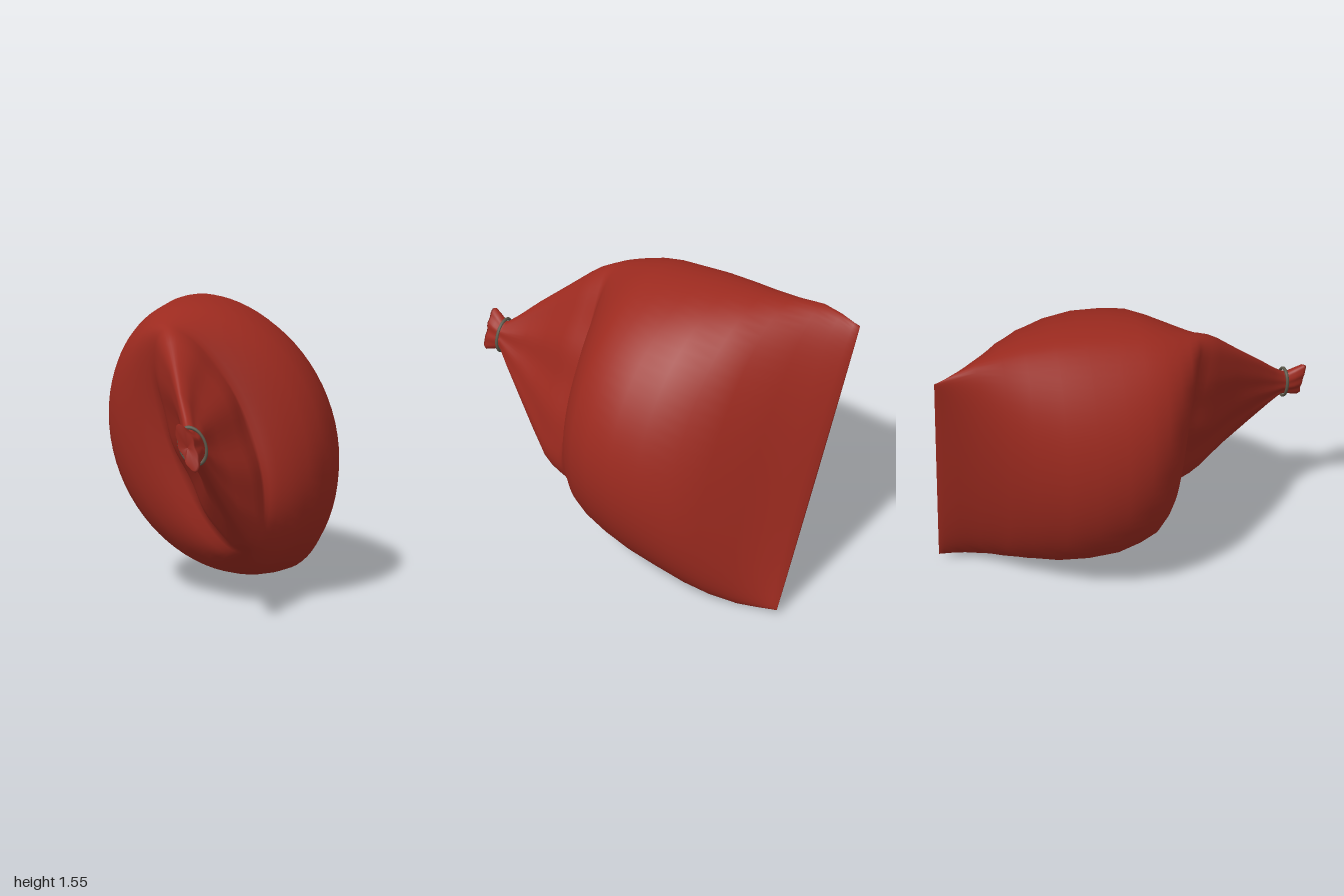
import * as THREE from 'three';

const TILT = 0.38; // lean of the sack's long axis, top towards -x
const S = Math.sin(TILT), C = Math.cos(TILT);
const SIDES = 72;

// Loft of leaning oval sections: [z, xMin, xMax, yMin, yMax, lens, bow, wrinkle]
// lens sharpens the two tips, bow pushes them forward, wrinkle adds gathered folds
function loft(sections) {
  const pos = [], index = [];
  for (const [z, x0, x1, y0, y1, lens = 0, bow = 0, wrinkle = 0] of sections) {
    const cx = (x0 + x1) / 2, cy = (y0 + y1) / 2;
    const w = ((x1 - x0) / 2) ** 2, h = ((y1 - y0) / 2) ** 2;
    const sum = w + h, diff = (h - w) / (C * C - S * S);
    const long = Math.sqrt(Math.max((sum + diff) / 2, 0));
    const wide = Math.sqrt(Math.max((sum - diff) / 2, 0.00003 * Math.sign(sum)));
    for (let j = 0; j < SIDES; j++) {
      const t = (j / SIDES) * Math.PI * 2, s = Math.sin(t);
      const fold = 1 + wrinkle * (Math.cos(9 * t + 1) + 0.6 * Math.cos(5 * t)) * Math.abs(s);
      const u = long * Math.cos(t);
      const v = wide * Math.sign(s) * Math.abs(s) ** (1 + lens) * fold;
      pos.push(cx - S * u + C * v, cy + C * u + S * v, z + bow * Math.cos(t) ** 2);
    }
  }
  for (let i = 0; i < sections.length - 1; i++) {
    for (let j = 0; j < SIDES; j++) {
      const k = (j + 1) % SIDES;
      const a = i * SIDES + j, b = i * SIDES + k, c = a + SIDES, d = b + SIDES;
      index.push(a, c, b, b, c, d);
    }
  }
  const g = new THREE.BufferGeometry();
  g.setAttribute('position', new THREE.Float32BufferAttribute(pos, 3));
  g.setIndex(index);
  g.computeVertexNormals();
  return g;
}

export function createModel() {
  const group = new THREE.Group();
  const cloth = new THREE.MeshStandardMaterial({ color: 0x9c2a1f, side: THREE.DoubleSide });
  cloth.name = 'red cloth';
  const cord = new THREE.MeshStandardMaterial({ color: 0x5c584a });
  cord.name = 'grey cord';

  // Body: flat seam at the back swelling into a round bag with soft shoulders
  const body = [
    [-1.0, -0.105, -0.105, 0.745, 0.745],
    [-1.0, -0.39, 0.18, 0.03, 1.46, 0.1],
    [-0.97, -0.392, 0.192, 0.025, 1.468, 0.1],
    [-0.9, -0.402, 0.228, 0.012, 1.495, 0.1],
    [-0.8, -0.43, 0.305, 0.0, 1.525, 0.1],
    [-0.67, -0.485, 0.435, 0.006, 1.538, 0.1],
    [-0.55, -0.535, 0.523, 0.016, 1.55, 0.12],
    [-0.4, -0.59, 0.592, 0.03, 1.56, 0.15],
    [-0.25, -0.61, 0.625, 0.047, 1.562, 0.15],
    [-0.1, -0.608, 0.625, 0.072, 1.55, 0.15],
    [0.02, -0.578, 0.597, 0.105, 1.538, 0.13],
    [0.11, -0.535, 0.54, 0.135, 1.51, 0.1, 0.01],
    [0.18, -0.465, 0.472, 0.187, 1.48, 0.06, 0.02],
    [0.23, -0.385, 0.41, 0.235, 1.452, 0, 0.04],
    [0.252, -0.31, 0.375, 0.268, 1.437, 0, 0.06],
    [0.26, -0.25, 0.357, 0.29, 1.425, 0, 0.08]
  ];
  // Neck: gathered folds tapering to the tie
  const neck = [
    [0.275, -0.215, 0.352, 0.308, 1.415, 0, 0.09, 0.02],
    [0.35, -0.19, 0.352, 0.33, 1.392, 0, 0.06, 0.04],
    [0.44, -0.15, 0.34, 0.365, 1.355, 0, 0.02, 0.05],
    [0.58, -0.055, 0.29, 0.485, 1.25, 0, 0, 0.07],
    [0.72, 0.025, 0.245, 0.635, 1.13, 0, 0, 0.08],
    [0.82, 0.08, 0.22, 0.75, 1.035, 0, 0, 0.08],
    [0.88, 0.105, 0.205, 0.825, 0.985, 0, 0, 0.06],
    [0.905, 0.105, 0.205, 0.83, 0.98, 0, 0, 0.05]
  ];
  // Loose end beyond the tie, with a tucked-in mouth
  const tail = [
    [0.94, 0.1, 0.21, 0.815, 1.0, 0, 0, 0.08],
    [0.975, 0.1, 0.215, 0.8, 1.022, 0, 0.01, 0.1],
    [0.985, 0.105, 0.21, 0.81, 1.015, 0, 0.015, 0.1],
    [0.97, 0.155, 0.155, 0.91, 0.91]
  ];
  const sack = new THREE.Mesh(loft([...body, ...neck, ...tail]), cloth);
  sack.name = 'sack';
  group.add(sack);

  // Cord tied round the neck
  const ring = new THREE.Mesh(new THREE.TorusGeometry(0.078, 0.0085, 10, 48), cord);
  ring.name = 'tieCord';
  ring.scale.set(0.8, 1.15, 1);
  ring.rotation.set(0, 0.08, 0.38);
  ring.position.set(0.155, 0.908, 0.89);
  group.add(ring);

  return group;
}
